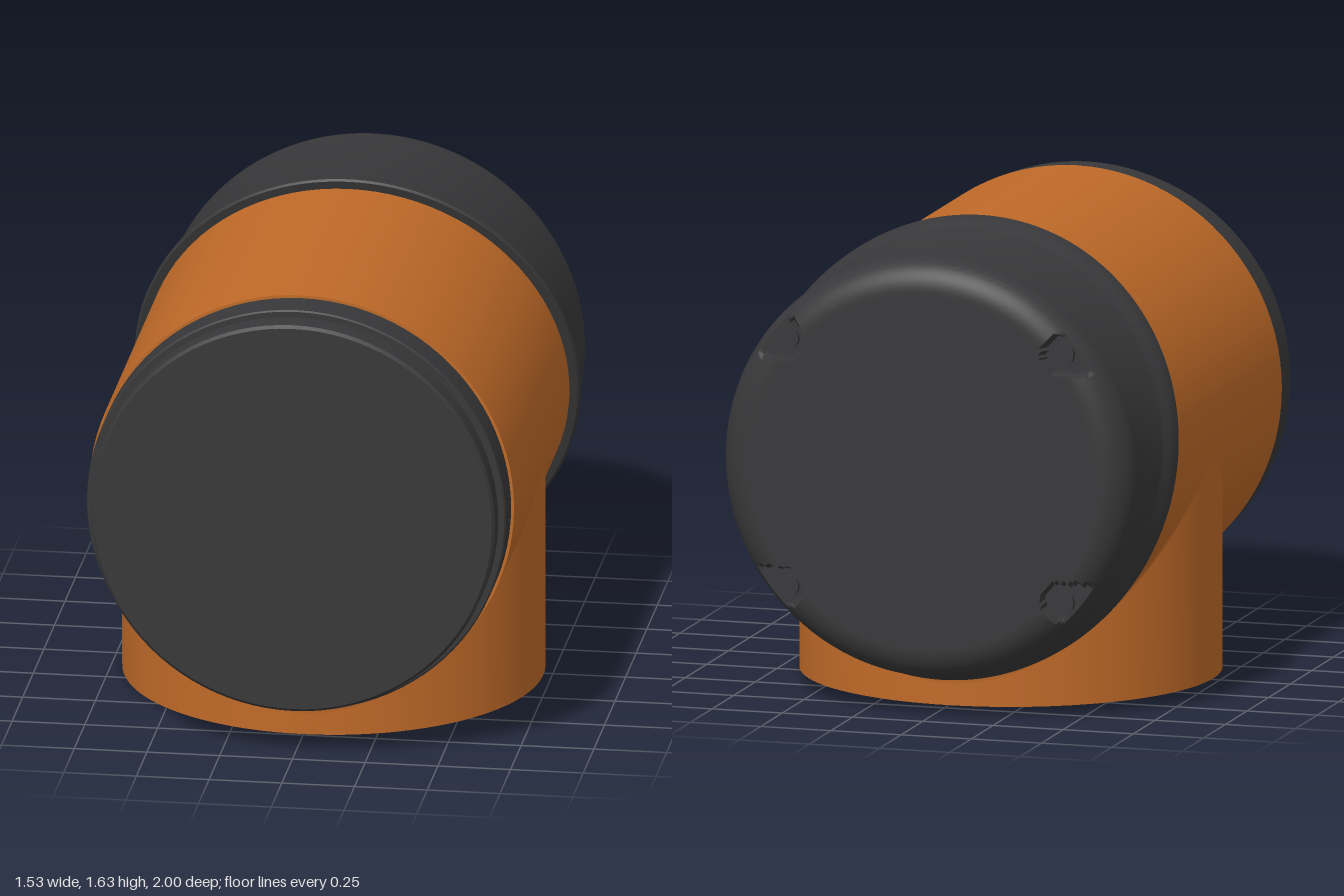
import * as THREE from 'three';
import { toCreasedNormals } from 'three/addons/utils/BufferGeometryUtils.js';

const CY = 0.865;   // height of the main axis
const R = 0.73;     // main pipe radius
const BR = 0.72;    // branch radius
const BZ = 0.02;    // branch centre in z

const orange = new THREE.MeshStandardMaterial({ color: 0xc06a28 });
const dark = new THREE.MeshStandardMaterial({ color: 0x38383a });

// Closed-loop surface: rows of points, each row running once around
function loopSurface(rows, cols, point) {
  const pos = [], index = [];
  for (let i = 0; i < rows; i++)
    for (let j = 0; j <= cols; j++) pos.push(...point(i, (j / cols) * Math.PI * 2));
  const w = cols + 1;
  for (let i = 0; i < rows - 1; i++)
    for (let j = 0; j < cols; j++) {
      const a = i * w + j, b = a + w;
      index.push(a, b, a + 1, b, b + 1, a + 1);
    }
  const g = new THREE.BufferGeometry();
  g.setAttribute('position', new THREE.Float32BufferAttribute(pos, 3));
  g.setIndex(index);
  return toCreasedNormals(g, 0.6);
}

function lathe(points) {
  return toCreasedNormals(
    new THREE.LatheGeometry(points.map(([r, y]) => new THREE.Vector2(r, y)), 96), 0.6);
}

export function createModel() {
  const model = new THREE.Group();
  const add = (name, geometry, material) => {
    const mesh = new THREE.Mesh(geometry, material);
    mesh.name = name;
    model.add(mesh);
    return mesh;
  };

  // Horizontal main pipe, its rear end hidden in the slanted cap
  const pipe = new THREE.CylinderGeometry(R, R, 1.54, 96);
  pipe.rotateX(Math.PI / 2).translate(0, CY, 0.01);
  add('mainPipe', pipe, orange);

  // Vertical branch with a thin rim and a recessed floor
  const branch = lathe([[0, 0.08], [0.7, 0.08], [0.7, 0], [BR, 0], [BR, CY]]);
  branch.translate(0, 0, BZ);
  add('branchPipe', branch, orange);

  // Small fillet following the joint of the two pipes
  const mainY = (x) => CY - Math.sqrt(Math.max(0, R * R - x * x));
  add('jointFillet', loopSurface(7, 128, (i, a) => {
    const t = i / 6, c = Math.cos(a), s = Math.sin(a);
    const out = 0.003 + 0.045 * s * s, drop = 0.003 + 0.057 * s * s;
    const r = BR + out * t * t;
    const joint = mainY(BR * c);
    const y = (1 - t) ** 2 * (joint - drop) + 2 * t * (1 - t) * joint
      + t * t * mainY((BR + out) * c);
    return [r * c, y, BZ + r * s];
  }), orange);

  // Stepped front plug
  const plug = lathe([[0, 0.76], [BR, 0.76], [BR, 0.905], [0.715, 0.91], [0.695, 0.91],
    [0.695, 0.99], [0.685, 1], [0, 1]]);
  plug.rotateX(Math.PI / 2).translate(0, CY, 0);
  add('frontPlug', plug, dark);

  // Rear cap: rows parallel to the slanted lip, then rows square to the axis
  const rows = [[0.715, 0], [0.758, 0], [0.765, 0.008], [0.764, 0.04], [0.756, 0.07],
    [0.742, 0.1], [0.736, 0.12]].map(([r, d]) => ({ r, d }));
  const round = 0.11;
  for (let i = 0; i <= 16; i++) {
    const a = (i / 16) * Math.PI / 2;
    rows.push({ r: R - round * (1 - Math.cos(a)), z: -1 + round * (1 - Math.sin(a)) });
  }
  for (let i = 1; i <= 24; i++) rows.push({ r: 0.62 - i * 0.01, z: -1 });
  rows.push({ r: 0, z: -1 });

  // Four screw pockets, open sideways through the rounded edge
  const px = 0.49, py = 0.43, pr = 0.068, floorZ = -0.96;
  const inPocket = (x, y) => {
    const dx = Math.min(0, Math.abs(x) - px), dy = Math.abs(y) - py;
    return Math.hypot(dx, dy) < pr;
  };
  add('rearCap', loopSurface(rows.length, 288, (i, a) => {
    const { r, d, z } = rows[i];
    const x = r * Math.cos(a), y = r * Math.sin(a);
    let depth = d === undefined ? z : -0.526 + 0.269 * y - d;
    if (inPocket(x, y)) depth = Math.max(depth, floorZ);
    return [x, CY + y, depth];
  }), dark);

  // Screw heads in the pockets
  for (const sx of [-1, 1])
    for (const sy of [-1, 1]) {
      const screw = add('capScrew', new THREE.CylinderGeometry(0.04, 0.04, 0.03, 24), dark);
      screw.rotation.x = Math.PI / 2;
      screw.position.set(sx * px, CY + sy * py, floorZ - 0.005);
    }

  return model;
}
